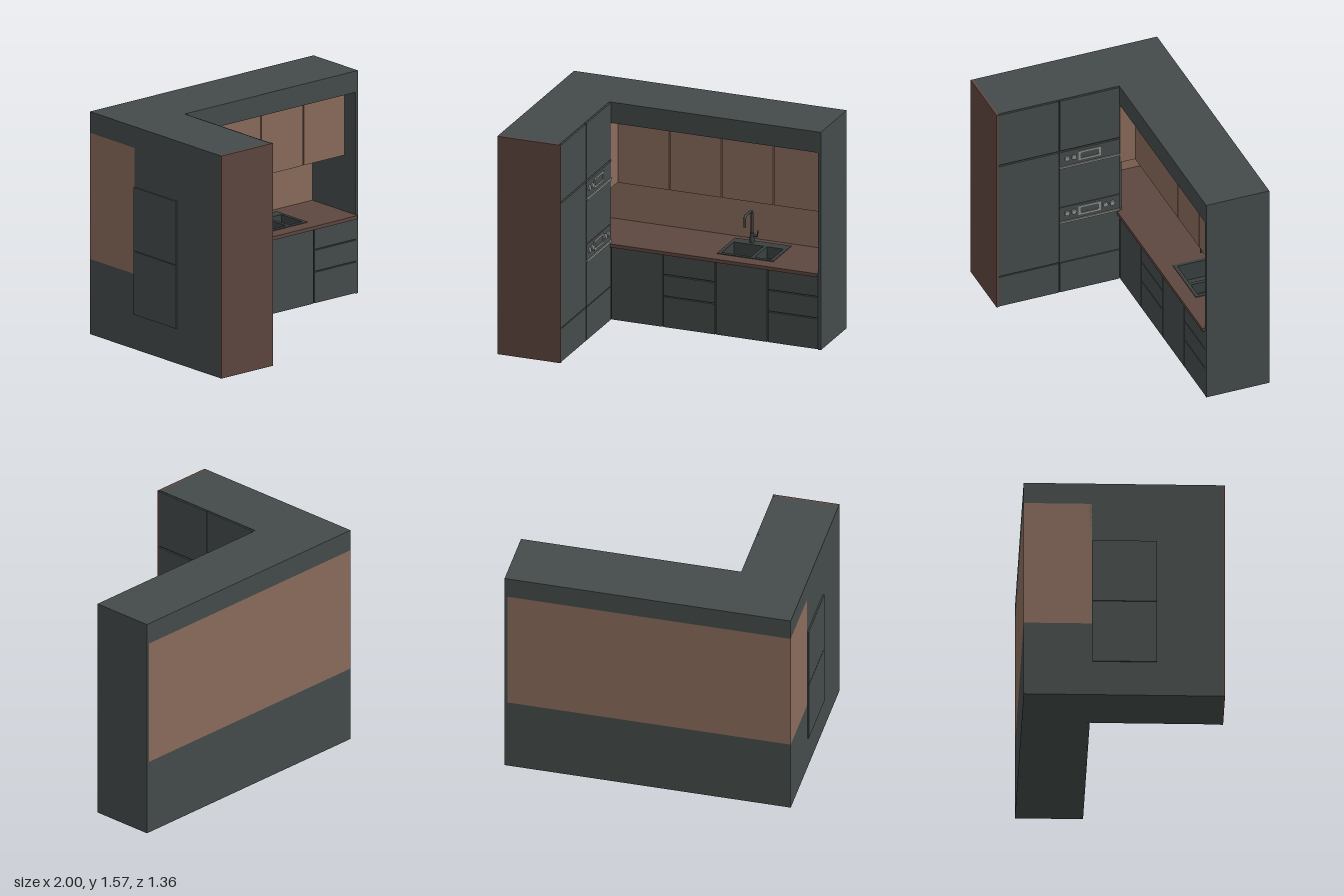
import * as THREE from 'three';

const mat = (name, color, side = THREE.FrontSide) => {
  const m = new THREE.MeshStandardMaterial({ color, side });
  m.name = name;
  return m;
};

export function createModel() {
  const dark = mat('dark cabinet', 0x444b4a);
  const tan = mat('light wood', 0x8a6b5b);
  const wood = mat('dark wood', 0x5e4640);
  const metal = mat('grey metal', 0x8e8e8c);
  const steel = mat('sink and tap', 0x39403f, THREE.DoubleSide);

  const model = new THREE.Group();
  model.name = 'cornerKitchen';

  const add = (name, geo, material, parent = model) => {
    const m = new THREE.Mesh(geo, material);
    m.name = name;
    parent.add(m);
    return m;
  };
  // Box given by its extents on each axis
  const box = (name, material, [x0, x1], [y0, y1], [z0, z1], parent = model) => {
    const g = new THREE.BoxGeometry(x1 - x0, y1 - y0, z1 - z0);
    g.translate((x0 + x1) / 2, (y0 + y1) / 2, (z0 + z1) / 2);
    return add(name, g, material, parent);
  };
  // Horizontal slab with rectangular cut-outs, each rect is [x0, x1, z0, z1]
  const trace = (p, [x0, x1, z0, z1]) =>
    p.moveTo(x0, -z1).lineTo(x1, -z1).lineTo(x1, -z0).lineTo(x0, -z0).closePath();
  const slab = (name, material, rect, holes, y0, y1, parent = model) => {
    const s = new THREE.Shape();
    trace(s, rect);
    for (const h of holes) {
      const p = new THREE.Path();
      trace(p, h);
      s.holes.push(p);
    }
    const g = new THREE.ExtrudeGeometry(s, { depth: y1 - y0, bevelEnabled: false });
    g.rotateX(-Math.PI / 2);
    g.translate(0, y0, 0);
    return add(name, g, material, parent);
  };

  const TOP = 1.57, BACK = -0.68, FRONT = -0.22, LEFT = -0.99, INNER = -0.53, RIGHT = 0.98;
  const GAP = 0.004;

  // Base run, hollow under the sink
  const cutout = [0.225, 0.605, -0.6, -0.315];
  box('baseCarcass', dark, [LEFT, RIGHT], [0, 0.4], [BACK, FRONT - 0.015]);
  slab('baseCarcassTop', dark, [LEFT, RIGHT, BACK, FRONT - 0.015], [cutout], 0.4, 0.53);
  slab('countertop', wood, [LEFT + 0.002, RIGHT, BACK + 0.002, -0.2], [cutout], 0.53, 0.555);

  // Base doors and drawers
  const cols = [INNER, -0.15, 0.23, 0.61, RIGHT];
  for (let i = 0; i < 4; i++) {
    const rows = i % 2 ? [0, 0.225, 0.38, 0.527] : [0, 0.527];
    for (let j = 0; j + 1 < rows.length; j++) {
      box(i % 2 ? 'drawerFront' : 'baseDoor', dark, [cols[i] + GAP, cols[i + 1] - GAP],
        [rows[j] + GAP, rows[j + 1] - GAP], [FRONT - 0.015, FRONT]);
    }
  }

  // Backsplash, corner wall and wall cabinets
  box('backsplash', tan, [LEFT, RIGHT], [0.53, 1.42], [BACK, BACK + 0.012]);
  box('cornerWall', tan, [LEFT, LEFT + 0.012], [0.53, 1.42], [BACK, FRONT]);
  box('wallCabinet', tan, [LEFT + 0.012, RIGHT], [0.952, 1.42], [BACK + 0.012, -0.345]);
  box('wallCabinetFiller', tan, [INNER - 0.02, INNER], [0.952, 1.42], [-0.345, FRONT]);
  for (let i = 0; i < 4; i++) {
    box('wallDoor', tan, [cols[i] + GAP, cols[i + 1] - GAP], [0.952, 1.418], [-0.345, -0.33]);
  }

  // Top beam and right end panel
  box('topBeam', dark, [LEFT, RIGHT], [1.42, TOP], [BACK, FRONT]);
  box('rightEndPanel', dark, [RIGHT, 1], [0, TOP], [BACK, FRONT]);

  // Tall run
  box('tallCarcass', dark, [LEFT, INNER - 0.013], [0, TOP], [-0.235, 0.663]);
  box('tallEndPanel', wood, [LEFT, INNER], [0, TOP], [0.663, 0.68]);
  const tallDoor = (y0, y1, z0, z1) => box('tallDoor', dark, [INNER - 0.013, INNER],
    [y0 + GAP, y1 - GAP], [z0 + GAP, z1 - GAP]);
  for (const [z0, z1] of [[FRONT, 0.222], [0.222, 0.665]]) {
    tallDoor(0, 0.245, z0, z1);
    tallDoor(1.154, TOP, z0, z1);
  }
  tallDoor(0.245, 1.15, 0.222, 0.665);

  // Built-in ovens
  const oven = (name, y0, y1, stripY, knobs) => {
    const g = new THREE.Group();
    g.name = name;
    model.add(g);
    box('ovenBody', dark, [-1, INNER], [y0 + 0.002, y1 - 0.002], [-0.216, 0.22], g);
    box('ovenHandle', metal, [INNER, INNER + 0.008], [stripY - 0.007, stripY + 0.007], [-0.216, 0.22], g);
    const cy = stripY + 0.067;
    // Display frame around a dark screen
    const frame = new THREE.Shape();
    frame.moveTo(-0.082, -0.036).lineTo(0.082, -0.036).lineTo(0.082, 0.036).lineTo(-0.082, 0.036).closePath();
    const hole = new THREE.Path();
    hole.absellipse(0, 0, 0.07, 0.024, 0, Math.PI * 2);
    const screen = new THREE.Path();
    const [a, b, c] = [0.068, 0.023, 0.008];
    screen.moveTo(-a, -b + c).lineTo(-a, b - c).lineTo(-a + c, b).lineTo(a - c, b)
      .lineTo(a, b - c).lineTo(a, -b + c).lineTo(a - c, -b).lineTo(-a + c, -b).closePath();
    frame.holes.push(screen);
    const fg = new THREE.ExtrudeGeometry(frame, { depth: 0.005, bevelEnabled: false });
    fg.rotateY(Math.PI / 2);
    fg.translate(INNER, cy, 0.002);
    add('displayFrame', fg, metal, g);
    for (const z of knobs) {
      const k = add('knob', new THREE.CylinderGeometry(0.018, 0.019, 0.01, 20), metal, g);
      k.rotation.z = -Math.PI / 2;
      k.position.set(INNER + 0.005, cy - 0.001, z);
    }
  };
  oven('lowerOven', 0.245, 0.695, 0.573, [0.167, 0.117, -0.113, -0.163]);
  oven('upperOven', 0.695, 1.147, 1.021, [0.167, 0.117]);

  // Sink with two bowls
  const sink = new THREE.Group();
  sink.name = 'sink';
  model.add(sink);
  const bowls = [[0.235, 0.45, -0.54, -0.325, 0.13], [0.475, 0.595, -0.54, -0.325, 0.08]];
  slab('sinkDeck', steel, [0.21, 0.62, -0.62, -0.3], bowls, 0.555, 0.56, sink);
  for (const [x0, x1, z0, z1, d] of bowls) {
    const w = 0.003, ys = [0.557 - d, 0.557];
    box('bowlFloor', steel, [x0, x1], [ys[0] - w, ys[0]], [z0, z1], sink);
    box('bowlSide', steel, [x0 - w, x0], ys, [z0, z1], sink);
    box('bowlSide', steel, [x1, x1 + w], ys, [z0, z1], sink);
    box('bowlSide', steel, [x0, x1], ys, [z0 - w, z0], sink);
    box('bowlSide', steel, [x0, x1], ys, [z1, z1 + w], sink);
    const drain = add('drain', new THREE.CylinderGeometry(0.016, 0.016, 0.003, 20), metal, sink);
    drain.position.set((x0 + x1) / 2, ys[0] + 0.0015, (z0 + z1) / 2);
  }

  // Tap with a bent spout and side lever
  const tap = new THREE.Group();
  tap.name = 'tap';
  tap.position.set(0.35, 0.56, -0.58);
  model.add(tap);
  const v = (y, z) => new THREE.Vector3(0, y, z);
  const path = new THREE.CurvePath();
  path.add(new THREE.LineCurve3(v(0, 0), v(0.205, 0)));
  path.add(new THREE.QuadraticBezierCurve3(v(0.205, 0), v(0.232, 0), v(0.232, 0.027)));
  path.add(new THREE.LineCurve3(v(0.232, 0.027), v(0.232, 0.103)));
  path.add(new THREE.QuadraticBezierCurve3(v(0.232, 0.103), v(0.232, 0.13), v(0.205, 0.13)));
  path.add(new THREE.LineCurve3(v(0.205, 0.13), v(0.155, 0.13)));
  add('spout', new THREE.TubeGeometry(path, 64, 0.009, 12), steel, tap);
  const base = add('tapBase', new THREE.CylinderGeometry(0.015, 0.016, 0.07, 20), steel, tap);
  base.position.y = 0.035;
  const arm = add('leverArm', new THREE.CylinderGeometry(0.008, 0.008, 0.03, 12), steel, tap);
  arm.rotation.z = Math.PI / 2;
  arm.position.set(0.025, 0.05, 0);
  const lever = add('lever', new THREE.CylinderGeometry(0.004, 0.004, 0.045, 10), steel, tap);
  lever.rotation.z = -0.2;
  lever.position.set(0.041, 0.068, 0);

  return model;
}
